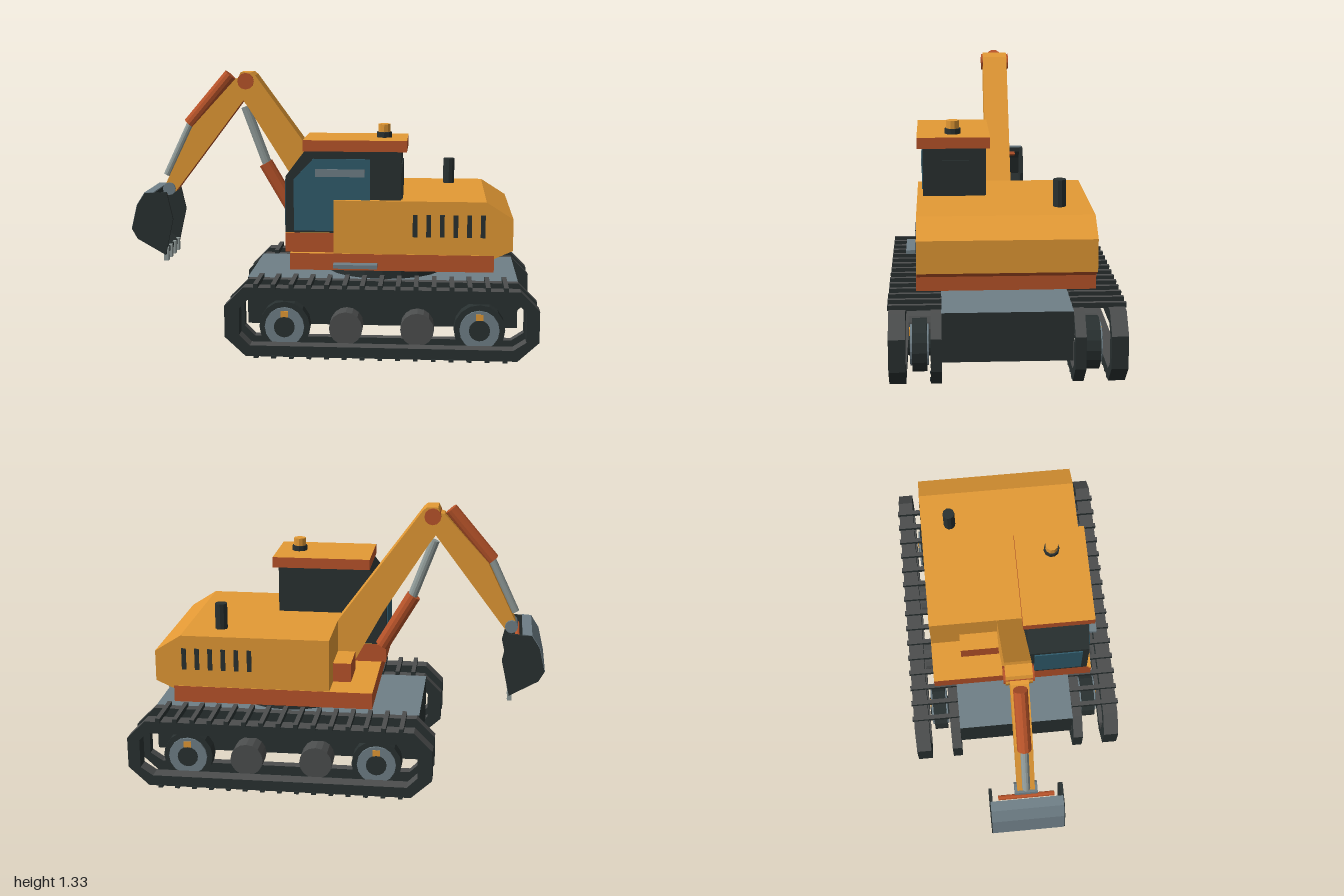
import * as THREE from 'three';

const material = (name, color) => {
  const m = new THREE.MeshStandardMaterial({ color });
  m.name = name;
  return m;
};
const orange = material('orange paint', 0xe49a35);
const red = material('rust red paint', 0xb9542a);
const dark = material('dark iron', 0x293131);
const grey = material('track grey', 0x4c4e4e);
const steel = material('blue steel', 0x6f7f87);
const chrome = material('pale steel', 0x929d9b);
const glass = material('window glass', 0x305c6d);

// Side, top and bottom colours of each painted finish
const ORANGE = [orange, orange, red];
const RED = [red, orange, red];
const DARK = [dark, steel, dark];
const TRACK = [dark, grey, dark];

export function createModel() {
  const root = new THREE.Group();

  function add(name, geometry, mat, parent = root) {
    // Flat facets throughout
    const geo = geometry.index ? geometry.toNonIndexed() : geometry;
    geo.computeVertexNormals();
    geo.clearGroups();
    // Give faces turned up or down their own colour
    if (Array.isArray(mat)) {
      const n = geo.attributes.normal;
      for (let i = 0; i < n.count; i += 3) {
        const y = n.getY(i);
        geo.addGroup(i, 3, y > 0.2 ? 1 : y < -0.3 ? 2 : 0);
      }
    }
    const mesh = new THREE.Mesh(geo, mat);
    mesh.name = name;
    parent.add(mesh);
    return mesh;
  }

  // Box given by its limits
  function box(name, mat, x0, x1, y0, y1, z0, z1, parent) {
    const geo = new THREE.BoxGeometry(x1 - x0, y1 - y0, z1 - z0);
    geo.translate((x0 + x1) / 2, (y0 + y1) / 2, (z0 + z1) / 2);
    return add(name, geo, mat, parent);
  }

  // Side profile extruded from z0 to z1; a hole winds against its outline
  const vectors = (pts) => pts.map(([x, y]) => new THREE.Vector2(x, y));
  function prism(name, mat, pts, z0, z1, hole, parent) {
    const shape = new THREE.Shape(vectors(pts));
    if (hole) shape.holes.push(new THREE.Path(vectors(hole).reverse()));
    const geo = new THREE.ExtrudeGeometry(shape, { depth: z1 - z0, bevelEnabled: false });
    geo.translate(0, 0, z0);
    return add(name, geo, mat, parent);
  }

  // Cylinder between two points
  function rod(name, mat, a, b, r, sides = 12, parent) {
    const p = new THREE.Vector3(...a), q = new THREE.Vector3(...b);
    const mesh = add(name, new THREE.CylinderGeometry(r, r, p.distanceTo(q), sides), mat, parent);
    mesh.position.copy(p).add(q).multiplyScalar(0.5);
    mesh.quaternion.setFromUnitVectors(new THREE.Vector3(0, 1, 0), q.sub(p).normalize());
    return mesh;
  }

  // Undercarriage
  box('chassis', DARK, -0.4, 0.91, 0.11, 0.34, -0.294, 0.294);
  rod('turntable', dark, [0.259, 0.33, 0], [0.259, 0.415, 0], 0.287, 20);

  // Tracks: two belt rings a side, cross pads, wheels and rollers
  const belt = [[-0.48, 0.25], [-0.39, 0.34], [0.91, 0.34], [1, 0.25], [1, 0.1], [0.9, 0.008], [-0.38, 0.008], [-0.48, 0.1]];
  const beltHole = [[-0.41, 0.24], [-0.37, 0.28], [0.9, 0.28], [0.94, 0.24], [0.94, 0.1], [0.88, 0.06], [-0.36, 0.06], [-0.41, 0.11]];
  for (const s of [1, -1]) {
    const track = new THREE.Group();
    track.name = s > 0 ? 'frontTrack' : 'backTrack';
    root.add(track);
    const span = (a, b) => (s > 0 ? [a, b] : [-b, -a]);
    for (const [a, b] of [[0.293, 0.342], [0.453, 0.528]]) {
      prism('trackBelt', TRACK, belt, ...span(a, b), beltHole, track);
      for (let i = 0; i < 15; i++) {
        const x = -0.33 + i * 0.0838;
        box('groundPad', dark, x - 0.011, x + 0.011, 0, 0.012, ...span(a, b + 0.005), track);
      }
    }
    for (let i = 0; i < 15; i++) {
      const x = -0.33 + i * 0.0838;
      box('trackPad', TRACK, x - 0.011, x + 0.011, 0.335, 0.36, ...span(0.293, 0.535), track);
    }
    for (const x of [-0.205, 0.725]) {
      const disc = (name, mat, r, a, b) => rod(name, mat, [x, 0.13, s * a], [x, 0.13, s * b], r, 16, track);
      disc('wheel', dark, 0.122, 0.36, 0.427);
      disc('wheelRim', steel, 0.095, 0.352, 0.437);
      disc('wheelHub', dark, 0.05, 0.345, 0.444);
      box('wheelMark', orange, x - 0.018, x + 0.018, 0.178, 0.208, ...span(0.436, 0.442), track);
    }
    for (const x of [0.09, 0.43]) rod('roller', grey, [x, 0.13, s * 0.342], [x, 0.13, s * 0.45], 0.08, 16, track);
  }

  // Deck, engine body and its fittings
  box('deck', RED, -0.18, 0.788, 0.405, 0.485, -0.405, 0.405);
  prism('engineBody', ORANGE, [[0.028, 0.47], [0.788, 0.47], [0.876, 0.51], [0.876, 0.66], [0.75, 0.74], [0.028, 0.74]], -0.402, 0.402);
  for (const z of [0.402, -0.402]) {
    for (let i = 0; i < 6; i++) {
      const x = 0.415 + i * 0.064;
      box('vent', dark, x - 0.011, x + 0.011, 0.57, 0.677, z - 0.004, z + 0.004);
    }
  }
  rod('exhaust', dark, [0.577, 0.73, -0.255], [0.577, 0.867, -0.255], 0.03, 10);
  box('toolBox', RED, -0.06, 0.03, 0.48, 0.58, -0.255, -0.06);
  box('step', steel, 0.03, 0.238, 0.424, 0.442, 0.4, 0.462);

  // Cab
  box('cabBase', RED, -0.203, 0.03, 0.487, 0.58, 0.07, 0.385);
  prism('cab', dark, [[-0.203, 0.58], [0.347, 0.58], [0.347, 0.98], [-0.105, 0.98], [-0.203, 0.85]], 0.075, 0.374);
  prism('sideWindow', glass, [[-0.163, 0.59], [0.2, 0.59], [0.2, 0.935], [-0.07, 0.935], [-0.163, 0.837]], 0.374, 0.381);
  box('windowGlint', steel, -0.06, 0.175, 0.85, 0.887, 0.381, 0.385);
  box('frontWindow', glass, -0.209, -0.203, 0.61, 0.83, 0.105, 0.342);
  box('rearPanel', dark, 0.347, 0.353, 0.74, 0.91, 0.11, 0.34);
  box('cabRoof', RED, -0.118, 0.374, 0.973, 1.026, 0.055, 0.402);
  rod('beaconBase', dark, [0.261, 1.02, 0.23], [0.261, 1.052, 0.23], 0.038, 10);
  rod('beacon', orange, [0.261, 1.05, 0.23], [0.261, 1.09, 0.23], 0.031, 10);

  // Boom and stick
  prism('boom', ORANGE, [[0.028, 0.5], [0.028, 0.74], [-0.388, 1.31], [-0.405, 1.324], [-0.46, 1.324], [-0.478, 1.28], [-0.46, 1.2], [-0.42, 1.145], [-0.2, 0.795], [-0.04, 0.5]], -0.061, 0.062);
  prism('stick', ORANGE, [[-0.86, 0.74], [-0.8, 0.72], [-0.46, 1.17], [-0.4, 1.25], [-0.42, 1.31], [-0.49, 1.29], [-0.71, 1.05]], -0.042, 0.042);
  rod('elbowPin', red, [-0.435, 1.28, -0.07], [-0.435, 1.28, 0.07], 0.041);

  // Hydraulic rams
  rod('boomRam', red, [-0.19, 0.6, 0], [-0.345, 0.865, 0], 0.036);
  rod('boomRamRod', chrome, [-0.33, 0.84, 0], [-0.445, 1.15, 0], 0.024);
  rod('stickRam', red, [-0.52, 1.308, 0], [-0.73, 1.06, 0], 0.033);
  rod('stickRamRod', chrome, [-0.72, 1.075, 0], [-0.85, 0.8, 0], 0.019);
  rod('wristPin', steel, [-0.832, 0.735, -0.055], [-0.832, 0.735, 0.055], 0.032);

  // Bucket: curved shell with a steel back, two cheeks, cross pin and teeth
  prism('bucketShell', dark, [[-0.885, 0.73], [-0.93, 0.727], [-0.967, 0.668], [-0.996, 0.55], [-0.97, 0.5], [-0.83, 0.42], [-0.83, 0.445], [-0.955, 0.52], [-0.975, 0.56], [-0.945, 0.66], [-0.92, 0.7], [-0.885, 0.705]], -0.175, 0.175);
  prism('bucketBack', steel, [[-0.885, 0.736], [-0.932, 0.733], [-0.972, 0.67], [-1, 0.55], [-0.995, 0.55], [-0.966, 0.668], [-0.93, 0.727], [-0.885, 0.73]], -0.174, 0.174);
  const cheek = [[-0.93, 0.73], [-0.82, 0.735], [-0.79, 0.6], [-0.83, 0.42], [-0.97, 0.5], [-0.998, 0.55], [-0.969, 0.67]];
  for (const z of [-0.178, 0.163]) prism('bucketCheek', dark, cheek, z, z + 0.015);
  rod('bucketPin', red, [-0.862, 0.7, -0.135], [-0.862, 0.7, 0.135], 0.012, 8);
  for (const z of [-0.135, -0.045, 0.045, 0.135]) {
    box('bucketTooth', chrome, -0.845, -0.822, 0.385, 0.45, z - 0.016, z + 0.016);
  }

  return root;
}
